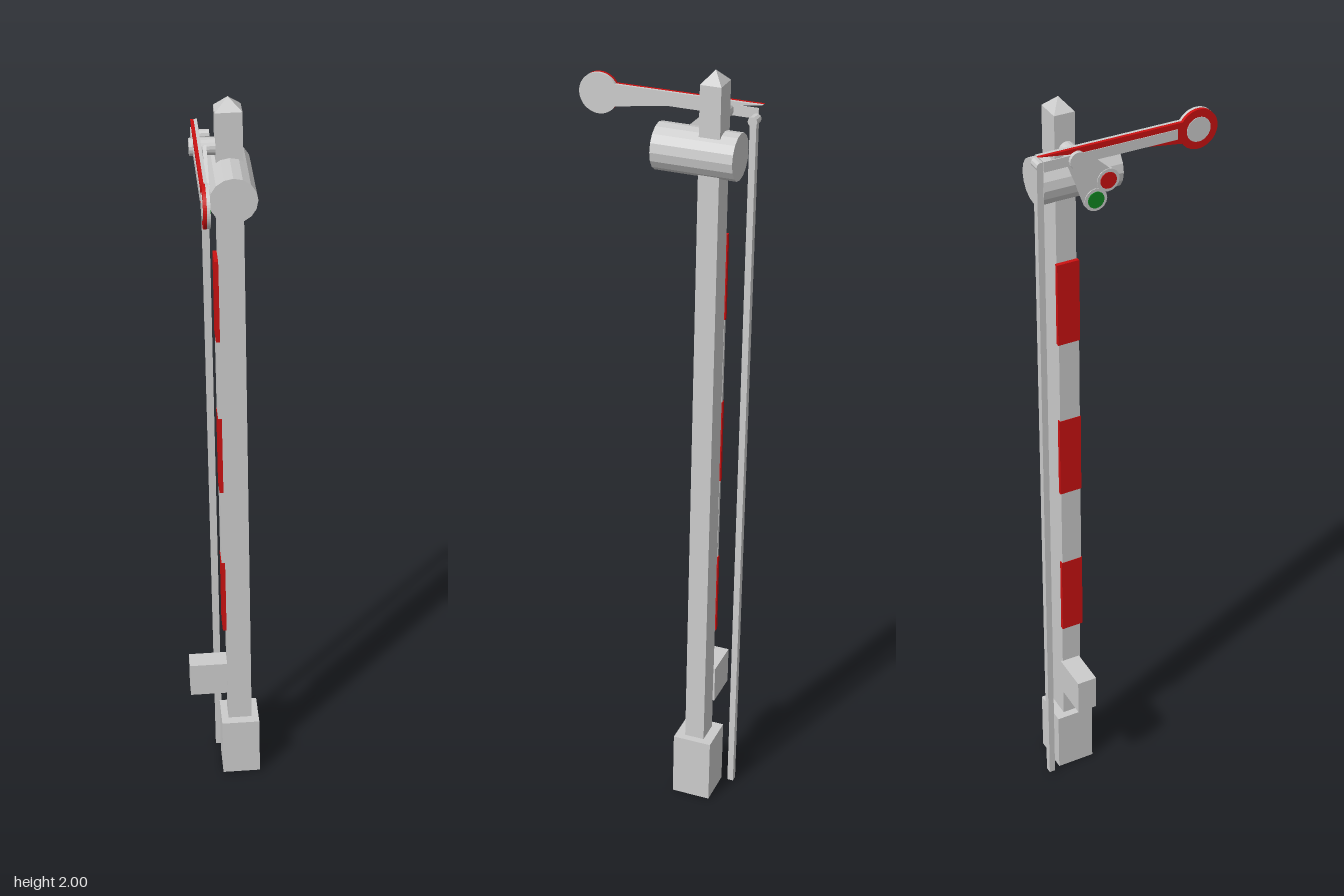
import * as THREE from 'three';

const grey = new THREE.MeshStandardMaterial({ color: 0xcccccc, flatShading: true });
const red = new THREE.MeshStandardMaterial({ color: 0xcc1111, flatShading: true });
const green = new THREE.MeshStandardMaterial({ color: 0x118822, flatShading: true });

// Local frame: the signal faces -x, its arm points along +z.
export function createModel() {
  const model = new THREE.Group();
  const signal = new THREE.Group();
  signal.name = 'semaphoreSignal';
  signal.position.set(0.089, 0, -0.066);
  signal.rotation.set(-0.0094, -0.417, 0.0186, 'YXZ'); // turned, with a slight lean
  model.add(signal);

  const add = (name, geometry, material = grey) => {
    const mesh = new THREE.Mesh(geometry, material);
    mesh.name = name;
    signal.add(mesh);
    return mesh;
  };
  const box = (name, [x0, x1], [y0, y1], [z0, z1], material) =>
    add(name, new THREE.BoxGeometry(x1 - x0, y1 - y0, z1 - z0), material)
      .position.set((x0 + x1) / 2, (y0 + y1) / 2, (z0 + z1) / 2);
  // Cylinder along x
  const axle = (name, r, x0, x1, y, z, material, sides = 16) =>
    add(name, new THREE.CylinderGeometry(r, r, x1 - x0, sides).rotateZ(Math.PI / 2), material)
      .position.set((x0 + x1) / 2, y, z);
  // Flat plate drawn in (z, y), from its back x towards the front
  const plate = (name, shape, xBack, thickness, y, material) =>
    add(name, new THREE.ExtrudeGeometry(shape, { depth: thickness, bevelEnabled: false, curveSegments: 20 })
      .rotateY(-Math.PI / 2), material).position.set(xBack, y, 0);

  // Post, base and pointed cap
  box('base', [-0.051, 0.051], [0, 0.175], [-0.051, 0.051]);
  box('post', [-0.032, 0.032], [0.175, 1.97], [-0.026, 0.026]);
  add('postCap', new THREE.ConeGeometry(Math.SQRT1_2, 0.03, 4).rotateY(Math.PI / 4).scale(0.064, 1, 0.052))
    .position.y = 1.985;
  box('controlBox', [-0.133, -0.03], [0.26, 0.36], [-0.031, 0.022]);

  // Striped board on the front of the post
  for (let i = 0; i < 5; i++) {
    const y = 0.48 + i * 0.222;
    const half = i % 2 ? 0.027 : 0.029;
    box(i % 2 ? 'paleStripe' : 'redStripe', [i % 2 ? -0.041 : -0.042, -0.032], [y, y + 0.222], [-half, half],
      i % 2 ? grey : red);
  }

  // Drum behind the arm
  add('drum', new THREE.CylinderGeometry(0.057, 0.057, 0.203, 16).rotateX(Math.PI / 2)).position.set(0, 1.8, 0.036);

  // Arm with a round end: grey back, red front, pale inlays
  const armY = 1.88, discZ = 0.317, discR = 0.05, half = 0.027;
  const bend = Math.PI - Math.asin(half / discR);
  const arm = new THREE.Shape();
  arm.moveTo(-0.092, -half);
  arm.absarc(discZ, 0, discR, -bend, bend, false);
  arm.lineTo(-0.092, half);
  arm.closePath();
  plate('armBack', arm, -0.067, 0.008, armY);
  plate('armFront', arm, -0.075, 0.008, armY, red);
  box('armInlay', [-0.0845, -0.082], [armY - 0.013, armY + 0.013], [-0.078, 0.262]);
  axle('discInlay', 0.031, -0.0845, -0.082, armY, discZ, grey, 24);
  axle('armPivot', 0.021, -0.093, -0.03, armY, 0.004);

  // Spectacle plate with two lenses, moving with the arm
  const lenses = [[0.062, 1.752, green, 'greenLens'], [0.094, 1.795, red, 'redLens']];
  const bracket = new THREE.Shape();
  bracket.moveTo(-0.015, 0);
  bracket.lineTo(0.036, 1.738 - armY);
  bracket.lineTo(0.062, 1.752 - armY);
  bracket.lineTo(0.094, 1.795 - armY);
  bracket.lineTo(0.1, 1.822 - armY);
  bracket.lineTo(0.025, 0.012);
  bracket.closePath();
  plate('spectaclePlate', bracket, -0.053, 0.009, armY);
  for (const [z, y, material, name] of lenses) {
    axle('lensRim', 0.029, -0.064, -0.051, y, z);
    axle(name, 0.021, -0.066, -0.049, y, z, material);
  }

  // Pull rod and its pin on the tail of the arm
  box('pullRod', [-0.063, -0.045], [0.003, 1.875], [-0.086, -0.07]);
  axle('rodPin', 0.012, -0.07, -0.04, 1.873, -0.078, grey, 10);

  return model;
}
